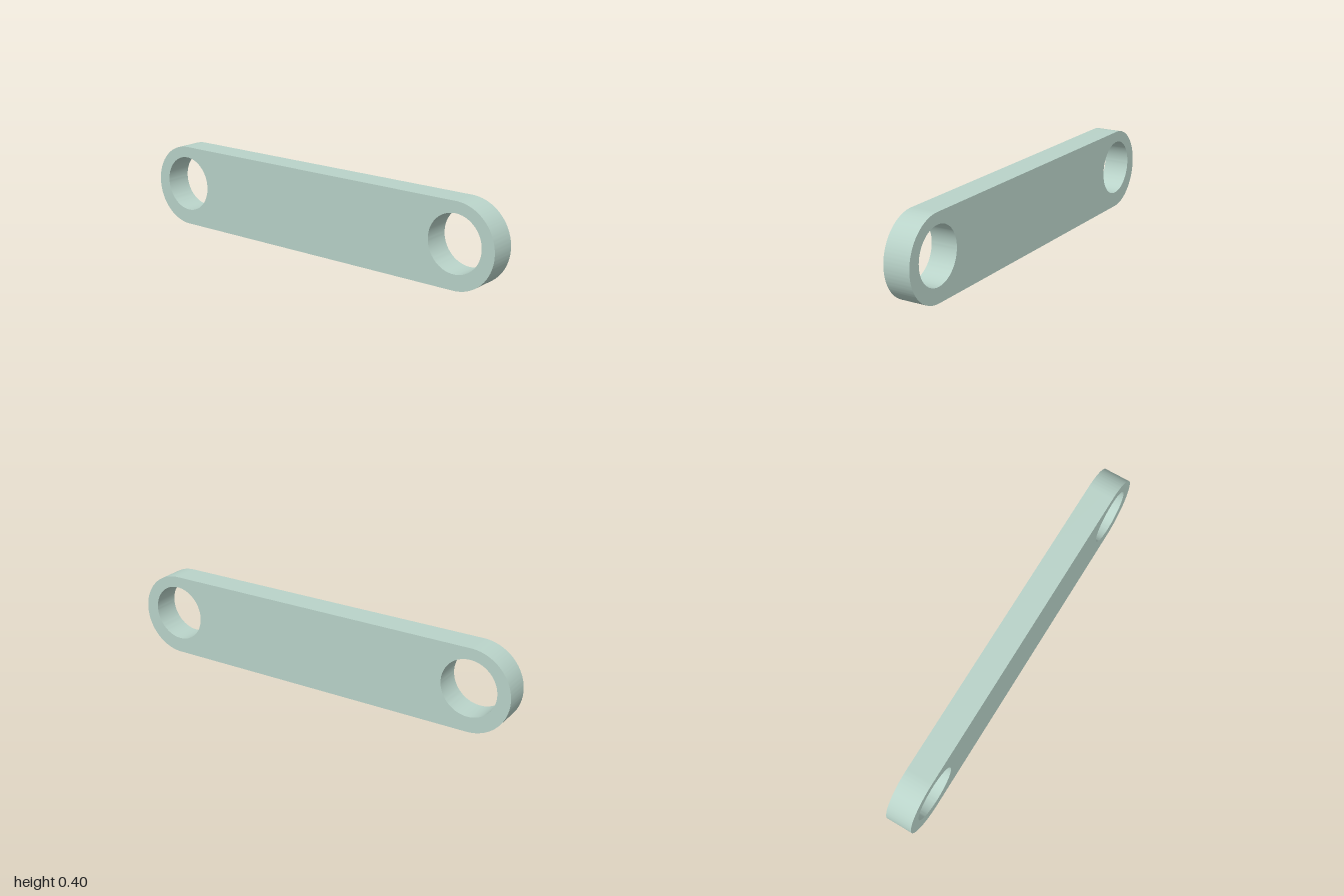
import * as THREE from 'three';
import { toCreasedNormals } from 'three/addons/utils/BufferGeometryUtils.js';

const REACH = 0.8;       // end arc centres along z
const RADIUS = 0.2;      // half the height of the bar
const THICKNESS = 0.13;
const HOLE_RADIUS = 0.136;
const HOLE_Y = 0.21;     // holes sit slightly above the middle

export function createModel() {
  const group = new THREE.Group();
  group.name = 'linkBar';

  // Outline with two rounded ends, drawn lengthwise
  const outline = new THREE.Shape();
  outline.absarc(REACH, RADIUS, RADIUS, -Math.PI / 2, Math.PI / 2, false);
  outline.absarc(-REACH, RADIUS, RADIUS, Math.PI / 2, Math.PI * 1.5, false);
  outline.closePath();

  // One pin hole near each end
  for (const side of [-1, 1]) {
    const hole = new THREE.Path();
    hole.absarc(side * REACH, HOLE_Y, HOLE_RADIUS, 0, Math.PI * 2, true);
    outline.holes.push(hole);
  }

  // Extrude the thickness, then turn the length onto z
  const plate = new THREE.ExtrudeGeometry(outline, {
    depth: THICKNESS, bevelEnabled: false, curveSegments: 48,
  });
  plate.translate(0, 0, -THICKNESS / 2);
  plate.rotateY(-Math.PI / 2);

  const bar = new THREE.Mesh(
    toCreasedNormals(plate, 0.5),
    new THREE.MeshStandardMaterial({ color: 0xb9d3c9 }),
  );
  bar.name = 'bar';
  group.add(bar);
  return group;
}
